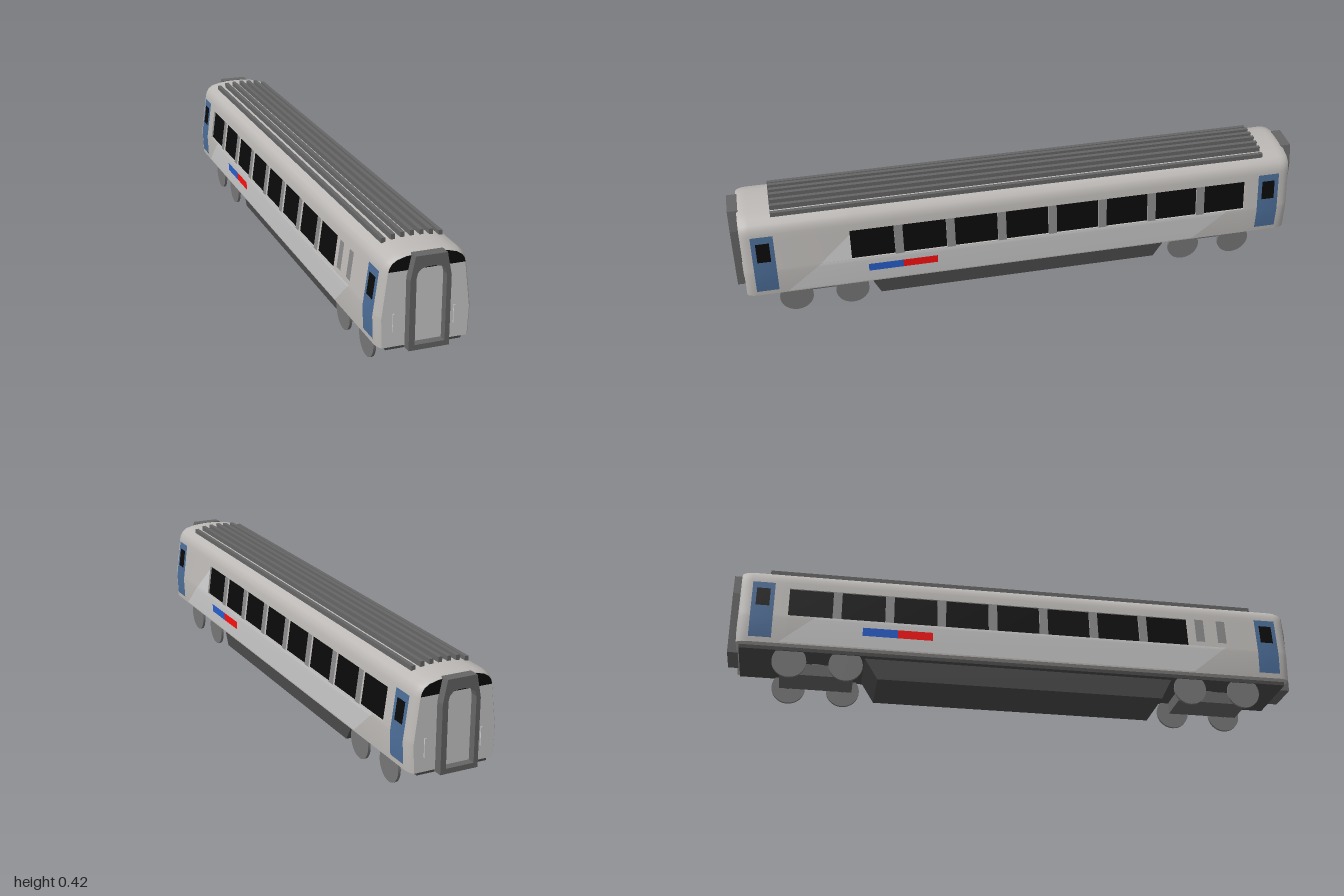
import * as THREE from 'three';
import { toCreasedNormals } from 'three/addons/utils/BufferGeometryUtils.js';

const mat = (color) => new THREE.MeshStandardMaterial({ color });
const M = {
  body: mat(0xbcb9b6), light: mat(0xcccccc), dark: mat(0x666666), under: mat(0x4a4a4a), wheel: mat(0x777777),
  glass: mat(0x0a0a0a), door: mat(0x4b6c96), blue: mat(0x2a5fd0), red: mat(0xff1010), pillar: mat(0x888888),
};
const WIN = { front: 0.605, back: -0.805, bottom: 0.213, top: 0.322, depth: 0.007 };

// Half width of the side wall at height y
const wallX = (y) => (y < 0.2 ? 0.149 + ((y - 0.107) / 0.093) * 0.004 : 0.153 - (y - 0.2) * 0.135);

function add(parent, name, geometry, material, x = 0, y = 0, z = 0) {
  const mesh = new THREE.Mesh(geometry, material);
  mesh.name = name;
  mesh.position.set(x, y, z);
  parent.add(mesh);
  return mesh;
}
const box = (w, h, d) => new THREE.BoxGeometry(w, h, d);
const shapeOf = (pts) => new THREE.Shape(pts.map(([x, y]) => new THREE.Vector2(x, y)));

// Closed body cross-section: k tapers it towards the ends, d recesses the window band
function ring(k, d) {
  const half = [
    [wallX(0.107), 0.107], [wallX(0.2), 0.2],
    [wallX(WIN.bottom), WIN.bottom], [wallX(WIN.bottom) - d, WIN.bottom],
    [wallX(WIN.top) - d, WIN.top], [wallX(WIN.top), WIN.top],
    [0.1335, 0.345], [0.13, 0.361], [0.12, 0.378], [0.103, 0.39], [0.07, 0.398], [0.035, 0.402],
  ].map(([x, y]) => [x * (1 - 0.08 * k), y - 0.07 * k * Math.max(0, y - 0.3)]);
  const left = half.map(([x, y]) => [-x, y]).reverse();
  return [...half, [0, 0.403 - 0.0072 * k], ...left];
}

function bodyGeometry() {
  const d = WIN.depth;
  const stations = [
    [-0.97, 1, 0], [-0.962, 0.5, 0], [-0.95, 0.15, 0], [-0.935, 0, 0],
    [WIN.back, 0, 0], [WIN.back, 0, d], [WIN.front, 0, d], [WIN.front, 0, 0],
    [0.935, 0, 0], [0.95, 0.15, 0], [0.962, 0.5, 0], [0.97, 1, 0],
  ];
  const pos = [], idx = [];
  const n = ring(0, 0).length;
  stations.forEach(([z, k, dd], i) => {
    ring(k, dd).forEach(([x, y], j) => {
      pos.push(x, y, z);
      if (i === stations.length - 1) return;
      const a = i * n + j, b = i * n + ((j + 1) % n);
      idx.push(a, b, a + n, b, b + n, a + n);
    });
  });
  const g = new THREE.BufferGeometry();
  g.setAttribute('position', new THREE.Float32BufferAttribute(pos, 3));
  g.setIndex(idx);
  return toCreasedNormals(g, 0.6);
}

// Panel following the side wall; z runs from za to zb, leaning by slope per unit height.
// Side -1 is side +1 turned half a circle.
function panel(side, za, zb, y0, y1, offset, slope = 0) {
  const ys = [y1, ...(y0 < 0.2 && y1 > 0.2 ? [0.2] : []), y0];
  const g = new THREE.PlaneGeometry(1, 1, 1, ys.length - 1);
  const p = g.attributes.position;
  for (let i = 0; i < p.count; i++) {
    const y = ys[Math.floor(i / 2)];
    const z = (i % 2 ? Math.min(za, zb) : Math.max(za, zb)) - (y - y0) * slope;
    p.setXYZ(i, side * (wallX(y) + offset), y, side * z);
  }
  g.computeVertexNormals();
  return g;
}

function makeSide(side) {
  const g = new THREE.Group();
  g.name = side > 0 ? 'leftSide' : 'rightSide';
  add(g, 'liveryBand', panel(side, 0.83, -0.62, 0.112, 0.212, 0.0008, 1.2), M.light);
  if (side > 0) {
    const tri = panel(1, 0.71, WIN.front, WIN.bottom, 0.31, 0.0008);
    tri.attributes.position.setZ(0, WIN.front);
    add(g, 'liveryWedge', tri, M.light);
  }
  // Windows and the pillars between them
  for (let i = 0; i < 8; i++) {
    const z = WIN.front - i * 0.18;
    add(g, 'window', panel(side, side * z, side * (z - 0.15), WIN.bottom, WIN.top, 0.001 - WIN.depth), M.glass);
    if (i < 7) add(g, 'windowPillar', panel(side, side * (z - 0.15), side * (z - 0.18), WIN.bottom, WIN.top, 0), M.pillar);
  }
  // End doors with their small windows
  for (const z of [0.898, -0.893]) {
    const c = side * z;
    add(g, 'door', panel(side, c - 0.038, c + 0.038, 0.125, 0.34, 0.002), M.door);
    add(g, 'doorWindow', panel(side, c - 0.023, c + 0.023, 0.245, 0.315, 0.003), M.glass);
  }
  add(g, 'blueStripe', panel(side, 0.55, 0.43, 0.155, 0.185, 0.0018), M.blue);
  add(g, 'redStripe', panel(side, 0.43, 0.31, 0.155, 0.185, 0.0018), M.red);
  // Narrow blanked panels on one side only
  if (side < 0) {
    for (const z of [0.65, 0.73]) add(g, 'narrowPanel', panel(side, -z - 0.016, -z + 0.016, 0.23, WIN.top, 0.002), M.pillar);
  }
  return g;
}

function makeEnd() {
  const g = new THREE.Group();
  g.name = 'carEnd';
  add(g, 'endWall', new THREE.ShapeGeometry(shapeOf(ring(1, 0))), M.light, 0, 0, 0.97);
  for (const s of [1, -1]) {
    const glass = [[0.05, 0.347], [0.122, 0.347], [0.119, 0.36], [0.11, 0.373], [0.094, 0.383], [0.066, 0.391], [0.05, 0.392]];
    add(g, 'endWindow', new THREE.ShapeGeometry(shapeOf(glass.map(([x, y]) => [s * x, y]))), M.glass, 0, 0, 0.9715);
  }
  for (const x of [-0.103, 0.092]) add(g, 'handrail', box(0.005, 0.06, 0.004), M.light, x, 0.184, 0.972);
  // Gangway frame around a recessed door
  const frame = shapeOf([[-0.06, 0.1], [0.065, 0.1], [0.065, 0.325], [0.05, 0.399], [-0.05, 0.399], [-0.065, 0.325], [-0.065, 0.1]]);
  const opening = [[-0.046, 0.117], [0.05, 0.117], [0.05, 0.33], [0.045, 0.347], [0.03, 0.359], [0.012, 0.363],
    [-0.012, 0.363], [-0.03, 0.359], [-0.042, 0.347], [-0.046, 0.33]];
  frame.holes.push(shapeOf(opening));
  add(g, 'gangwayFrame', new THREE.ExtrudeGeometry(frame, { depth: 0.035, bevelEnabled: false }), M.dark, 0, 0, 0.965);
  add(g, 'gangwayDoor', box(0.096, 0.232, 0.004), M.light, 0.002, 0.232, 0.972);
  add(g, 'gangwayDoorWindow', box(0.096, 0.02, 0.004), M.glass, 0.002, 0.357, 0.972);
  return g;
}

function makeBogie(z, axles) {
  const g = new THREE.Group();
  g.name = 'bogie';
  add(g, 'bogieFrame', box(0.125, 0.042, 0.25), M.dark, 0.002, 0.056, z);
  add(g, 'bogiePivot', new THREE.CylinderGeometry(0.034, 0.034, 0.03, 24), M.dark, 0.005, 0.086, z);
  for (const az of axles) {
    add(g, 'axle', new THREE.CylinderGeometry(0.006, 0.006, 0.22, 12), M.dark, 0, 0.058, az).rotation.z = Math.PI / 2;
    for (const x of [-0.114, 0.114]) {
      add(g, 'wheel', new THREE.CylinderGeometry(0.058, 0.058, 0.009, 32), M.wheel, x, 0.058, az).rotation.z = Math.PI / 2;
    }
  }
  return g;
}

export function createModel() {
  const car = new THREE.Group();
  car.name = 'railwayCoach';
  add(car, 'bodyShell', bodyGeometry(), M.body);
  car.add(makeSide(1), makeSide(-1));

  const front = makeEnd();
  const back = makeEnd();
  back.rotation.y = Math.PI;
  car.add(front, back);

  // Roof ribs
  [0.42, 0.418, 0.416, 0.407].forEach((top, i) => {
    for (const s of i ? [1, -1] : [1]) add(car, 'roofRib', box(0.013, 0.03, 1.735), M.dark, s * i * 0.0307, top - 0.015, -0.008);
  });

  // Underframe and equipment box with sloping ends
  add(car, 'underframe', box(0.244, 0.016, 1.92), M.under, 0, 0.102, 0);
  const tray = shapeOf([[-0.49, 0.02], [0.51, 0.02], [0.55, 0.1], [-0.54, 0.1]]);
  const trayGeo = new THREE.ExtrudeGeometry(tray, { depth: 0.21, bevelEnabled: false });
  trayGeo.rotateY(-Math.PI / 2);
  add(car, 'equipmentBox', trayGeo, M.under, 0.108, 0, 0);

  car.add(makeBogie(0.708, [0.805, 0.61]), makeBogie(-0.695, [-0.6, -0.79]));
  return car;
}
